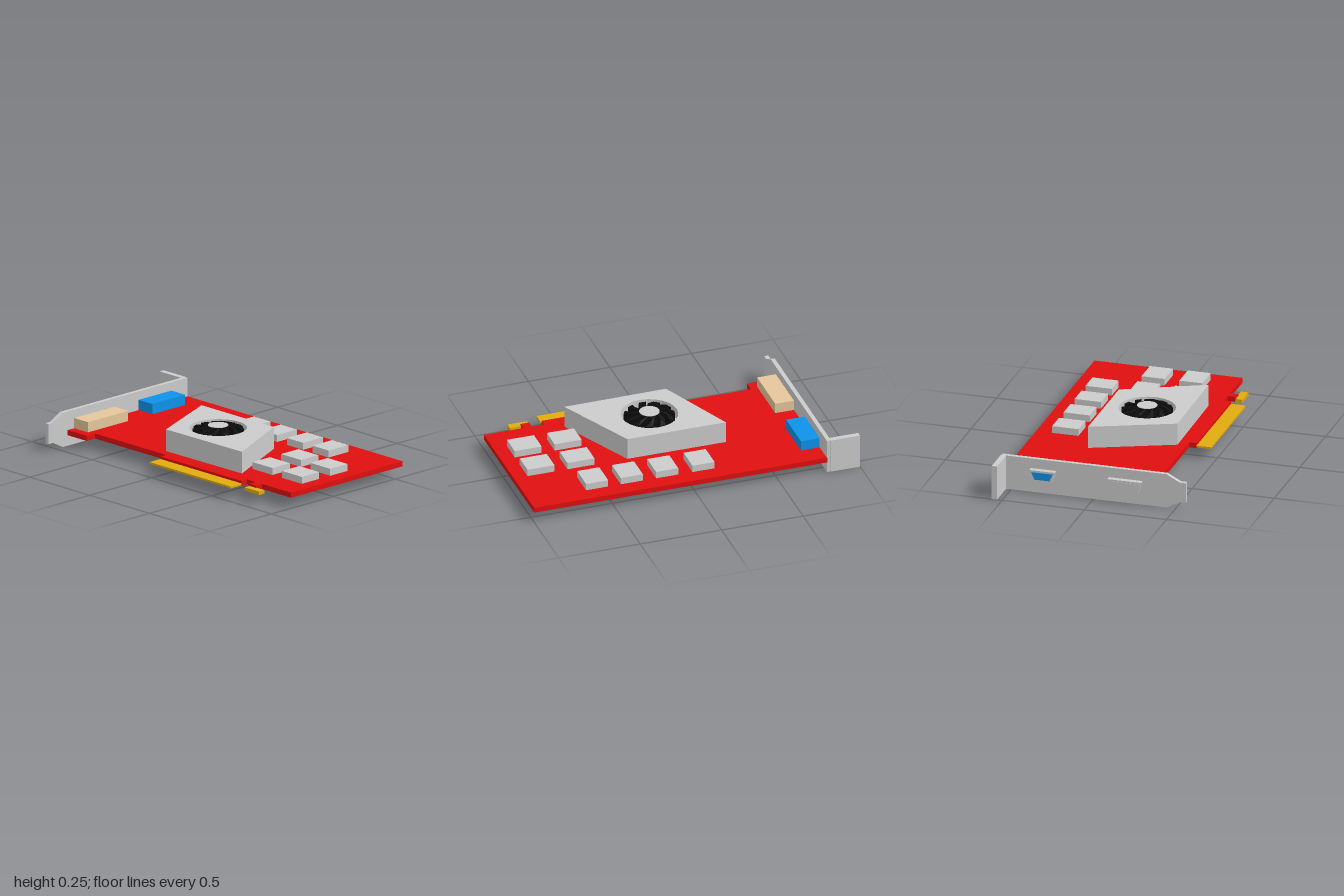
import * as THREE from 'three';

const mat = (color) => new THREE.MeshStandardMaterial({ color, flatShading: true });
const GREY = mat(0xcccccc), RED = mat(0xe00f0f), GOLD = mat(0xe0ac0e);
const BLUE = mat(0x0e92ea), TAN = mat(0xe5c69b), BLACK = mat(0x0c0c0c);

const shapeOf = (pts) => new THREE.Shape(pts.map(([a, b]) => new THREE.Vector2(a, b)));

export function createModel() {
  const model = new THREE.Group();

  const add = (name, geometry, material, parent = model) => {
    const mesh = new THREE.Mesh(geometry, material);
    mesh.name = name;
    parent.add(mesh);
    return mesh;
  };
  // Box from its limits on each axis
  const box = (name, material, [x0, x1], [y0, y1], [z0, z1]) => {
    const g = new THREE.BoxGeometry(x1 - x0, y1 - y0, z1 - z0);
    return add(name, g.translate((x0 + x1) / 2, (y0 + y1) / 2, (z0 + z1) / 2), material);
  };
  // Plan outline (x, z) filled between two heights
  const slab = (shape, y0, y1) =>
    new THREE.ExtrudeGeometry(shape, { depth: y1 - y0, bevelEnabled: false, curveSegments: 12 })
      .rotateX(Math.PI / 2).translate(0, y1, 0);
  // Side outline (z, y) filled between two x positions
  const plate = (shape, x0, x1) =>
    new THREE.ExtrudeGeometry(shape, { depth: x1 - x0, bevelEnabled: false })
      .rotateY(-Math.PI / 2).translate(x1, 0, 0);

  // Circuit board with the tabs along its front edge
  add('circuitBoard', slab(shapeOf([
    [-0.8, -0.56], [1, -0.56], [1, 0.34], [0.757, 0.34], [0.757, 0.39], [0.705, 0.39],
    [0.705, 0.34], [0.632, 0.34], [0.632, 0.385], [-0.045, 0.385], [-0.045, 0.34],
    [-0.638, 0.34], [-0.638, 0.408], [-0.8, 0.408],
  ]), 0.064, 0.095), RED);

  // Gold edge contacts
  box('edgeContacts', GOLD, [-0.045, 0.632], [0.068, 0.08], [0.38, 0.473]);
  box('retentionContact', GOLD, [0.705, 0.825], [0.061, 0.082], [0.386, 0.43]);

  // Mounting bracket and its folded flange
  add('bracket', plate(shapeOf([
    [-0.56, 0], [0.445, 0], [0.525, 0.042], [0.563, 0.042],
    [0.563, 0.165], [0.525, 0.165], [0.445, 0.208], [-0.56, 0.208],
  ]), -0.822, -0.797), GREY);
  box('bracketFlange', GREY, [-1, -0.82], [0, 0.208], [-0.563, -0.53]);

  // Rear sockets: a block on the board and a tapered shell outside the bracket
  const socket = (name, color, faceColor, [z0, z1], [s0, s1]) => {
    box(name + 'Block', color, [-0.798, -0.682], [0.094, 0.157], [z0, z1]);
    const shell = (inset) => shapeOf([
      [s0 + 0.02 + inset, 0.08 + inset], [s1 - 0.02 - inset, 0.08 + inset],
      [s1 - inset, 0.148 - inset], [s0 + inset, 0.148 - inset],
    ]);
    add(name + 'Shell', plate(shell(0), -0.854, -0.82), GREY);
    add(name + 'Face', plate(shell(0.012), -0.856, -0.85), faceColor);
  };
  socket('blueSocket', BLUE, BLUE, [-0.43, -0.165], [-0.38, -0.225]);
  socket('tanSocket', TAN, GREY, [0.03, 0.355], [0.095, 0.3]);

  // Memory chips: a row at the back and a two by two block at the right
  for (const x of [-0.073, 0.15, 0.367, 0.58])
    box('memoryChip', GREY, [x - 0.068, x + 0.068], [0.094, 0.137], [-0.463, -0.303]);
  for (const x of [0.588, 0.833])
    for (const z of [-0.127, 0.103])
      box('memoryChip', GREY, [x - 0.083, x + 0.083], [0.094, 0.137], [z - 0.07, z + 0.07]);

  // Cooler housing with a round fan well
  const cx = 0.085, cz = 0.045;
  const housing = shapeOf([[-0.302, -0.195], [0.303, -0.195], [0.527, 0.28], [-0.1, 0.287]]);
  housing.holes.push(new THREE.Path().absarc(cx, cz, 0.168, 0, Math.PI * 2, true));
  add('coolerHousing', slab(housing, 0.094, 0.227), GREY);

  // Fan: floor, hub and swept blades that fall away toward the rim
  const fan = new THREE.Group();
  fan.name = 'fan';
  fan.position.set(cx, 0, cz);
  model.add(fan);
  add('fanFloor', new THREE.CylinderGeometry(0.17, 0.17, 0.04, 24).translate(0, 0.14, 0), GREY, fan);
  add('fanCore', new THREE.CylinderGeometry(0.071, 0.071, 0.082, 24).translate(0, 0.201, 0), BLACK, fan);
  add('fanHub', new THREE.CylinderGeometry(0.06, 0.06, 0.084, 24).translate(0, 0.202, 0), GREY, fan);

  const polar = (r, a) => [r * Math.cos(a), r * Math.sin(a)];
  const blade = slab(shapeOf([
    polar(0.066, 0), polar(0.105, 0.1), polar(0.15, 0.34),
    polar(0.15, 0.62), polar(0.105, 0.36), polar(0.066, 0.22),
  ]), 0.16, 0.245);
  const p = blade.attributes.position;
  for (let i = 0; i < p.count; i++) {
    const r = Math.hypot(p.getX(i), p.getZ(i));
    if (p.getY(i) > 0.2) p.setY(i, 0.245 - 0.34 * Math.max(0, r - 0.08));
  }
  blade.computeVertexNormals();
  const count = 11;
  for (let i = 0; i < count; i++)
    add('fanBlade', blade, BLACK, fan).rotation.y = (i / count) * Math.PI * 2;

  return model;
}
